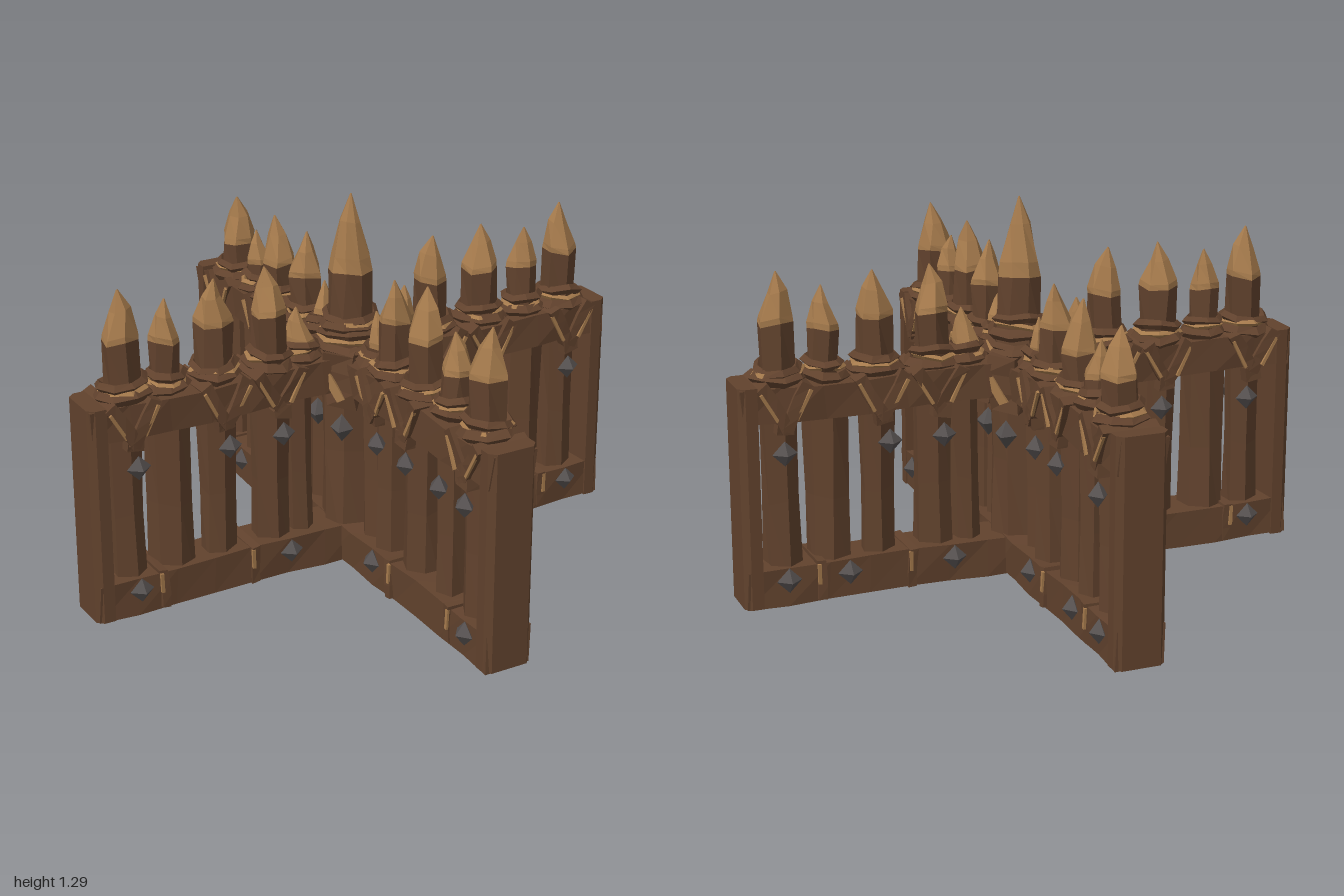
import * as THREE from 'three';

const mat = (name, color) => Object.assign(new THREE.MeshStandardMaterial({ color }), { name });
const wood = mat('dark wood', 0x61422d);
const cut = mat('fresh cut wood', 0xa57a4c);
const iron = mat('iron', 0x55504f);

// Uneven hand-hewn surface: a smooth wobble by position, then faceted normals
function hew(geo, amount = 0, seed = 0) {
  const p = geo.attributes.position;
  for (let i = 0; i < p.count; i++) {
    const x = p.getX(i), y = p.getY(i), z = p.getZ(i);
    p.setXYZ(i,
      x + amount * Math.sin(23 * y + 31 * z + seed * 1.7),
      y + amount * Math.sin(37 * x + 29 * z + seed * 2.3),
      z + amount * Math.sin(19 * y + 27 * x + seed * 3.1));
  }
  const flat = geo.index ? geo.toNonIndexed() : geo;
  flat.computeVertexNormals();
  return flat;
}

function add(parent, name, geo, material, x = 0, y = 0, z = 0) {
  const mesh = new THREE.Mesh(geo, material);
  mesh.name = name;
  mesh.position.set(x, y, z);
  parent.add(mesh);
  return mesh;
}

const lathe = (points, sides) =>
  new THREE.LatheGeometry(points.map(([r, y]) => new THREE.Vector2(r, y)), sides);

// Stake with a wide foot, narrower head and pale sharpened point
function addStake(parent, x, foot, head, tip, seed) {
  const shoulder = tip - 2.4 * head, paint = shoulder - 0.02;
  const g = new THREE.Group();
  g.name = 'stake';
  g.position.x = x;
  parent.add(g);
  add(g, 'stakeBody', hew(lathe([[foot, 0.04], [foot * 0.93, 0.35], [foot, 0.66], [head, 0.74],
    [head * 1.03, paint]], 6), 0.007, seed), wood);
  add(g, 'stakePoint', hew(lathe([[head * 1.03, paint], [head, shoulder],
    [head * 0.55, shoulder + head * 1.3], [0.002, tip]], 6), 0.007, seed), cut);
}

// Stacked, slightly tilted rope turns around a stake
function addCollar(parent, x, y, r, seed) {
  [[0, 0.021, wood], [0.02, 0.011, cut], [0.038, 0.017, wood]].forEach(([dy, tube, m], i) => {
    const geo = new THREE.TorusGeometry(r - 0.004 * i, tube, 4, 8).rotateX(Math.PI / 2);
    const ring = add(parent, 'ropeTurn', hew(geo, 0.005, seed + i), m, x, y + dy, 0);
    ring.rotation.set(0.1 * Math.sin(seed + i * 2), seed, 0.12 * Math.cos(seed * 2 + i));
  });
}

// V-shaped binding across both faces of the top rail
function addBinding(parent, x, seed) {
  for (const s of [-1, 1]) {
    const strap = add(parent, 'bindingStrap',
      hew(new THREE.BoxGeometry(0.042, 0.17, 0.19, 1, 3, 1), 0.005, seed + s), wood, x + s * 0.037, 0.685, 0);
    strap.rotation.z = -s * 0.5;
    for (const f of [-1, 1]) {
      const edge = add(parent, 'wornEdge', hew(new THREE.BoxGeometry(0.011, 0.11, 0.009), 0.002, seed),
        cut, x + s * 0.058, 0.69, f * 0.095);
      edge.rotation.z = -s * 0.5;
    }
  }
  add(parent, 'bindingKnot', hew(new THREE.BoxGeometry(0.06, 0.05, 0.18), 0.006, seed), wood, x, 0.615, 0);
}

// Pyramid-headed nails on both faces
function addStud(parent, x, y, z) {
  for (const f of [-1, 1]) {
    const geo = new THREE.OctahedronGeometry(1).scale(0.043, 0.043, 0.035);
    add(parent, 'ironStud', hew(geo), iron, x, y, f * z);
  }
}

// One wall of the cross, running outward along +x
function makeArm({ length, stakes, high, low, straps }, seed) {
  const arm = new THREE.Group();
  arm.name = 'fenceArm';
  const mid = length / 2, rail = length - 0.02;
  add(arm, 'bottomRail', hew(new THREE.BoxGeometry(rail, 0.13, 0.165, 7, 1, 1), 0.004, seed), wood, mid, 0.07, 0);
  add(arm, 'topRail', hew(new THREE.BoxGeometry(rail, 0.115, 0.16, 7, 1, 1), 0.006, seed + 2), wood, mid, 0.69, 0);

  // End post with chamfered outer corners
  const a = length - 0.062, b = length - 0.022;
  const plan = new THREE.Shape([[a, -0.086], [b, -0.086], [length, -0.066], [length, 0.066], [b, 0.086], [a, 0.086]]
    .map(([x, z]) => new THREE.Vector2(x, z)));
  const post = new THREE.ExtrudeGeometry(plan, { depth: 0.755, bevelEnabled: false }).rotateX(-Math.PI / 2);
  add(arm, 'endPost', hew(post), wood, 0, 0.003, 0);

  stakes.forEach(([x, foot, head, tip], i) => {
    addStake(arm, x, foot, head, tip, seed + i);
    addCollar(arm, x, 0.765, head + 0.017, seed + i);
    if (head > 0.054) addBinding(arm, x, seed + i);
  });
  high.forEach(x => addStud(arm, x, 0.525, 0.075));
  low.forEach(x => addStud(arm, x, 0.09, 0.085));

  // Narrow straps around the bottom rail
  straps.forEach((x, i) => {
    const strap = add(arm, 'railStrap', hew(new THREE.BoxGeometry(0.03, 0.135, 0.185, 1, 3, 1), 0.004, seed + i),
      wood, x, 0.077, 0);
    strap.rotation.z = 0.06 * Math.sin(seed + i);
    for (const f of [-1, 1])
      add(arm, 'strapEdge', hew(new THREE.BoxGeometry(0.012, 0.07, 0.008), 0.002, seed), cut, x + 0.01, 0.1, f * 0.094);
  });
  return arm;
}

export function createModel() {
  const model = new THREE.Group();
  model.name = 'palisadeCross';

  // Stakes: distance from centre, foot radius, head radius, tip height
  const left = { length: 1, high: [0.3, 0.5, 0.83], low: [0.28, 0.84], straps: [0.42, 0.76],
    stakes: [[0.2, 0.05, 0.043, 0.93], [0.315, 0.068, 0.057, 1.09], [0.515, 0.066, 0.06, 1.1],
      [0.69, 0.072, 0.048, 1.05], [0.845, 0.066, 0.063, 1.12]] };
  const right = { ...left, high: [0.3, 0.49, 0.85], low: [0.27, 0.64, 0.85], straps: [0.42, 0.74] };
  const front = { length: 0.99, high: [0.3, 0.48, 0.68, 0.83], low: [0.29, 0.86], straps: [0.4, 0.76],
    stakes: [[0.18, 0.05, 0.04, 0.94], [0.285, 0.066, 0.056, 1.09], [0.475, 0.068, 0.06, 1.11],
      [0.65, 0.066, 0.048, 1.03], [0.835, 0.066, 0.062, 1.11]] };
  const back = { length: 0.99, high: [0.32, 0.5, 0.82], low: [0.3, 0.65, 0.86], straps: [0.42, 0.76],
    stakes: [[0.18, 0.05, 0.04, 0.93], [0.305, 0.066, 0.056, 1.07], [0.51, 0.068, 0.06, 1.06],
      [0.65, 0.066, 0.045, 0.975], [0.81, 0.066, 0.06, 1.05]] };
  [right, back, left, front].forEach((spec, i) => {
    const arm = makeArm(spec, 3 + i * 4);
    arm.rotation.y = i * Math.PI / 2;
    model.add(arm);
  });

  // Tall centre post with its own point
  add(model, 'centrePost', hew(lathe([[0.105, 0.005], [0.098, 0.4], [0.105, 0.74], [0.078, 0.86],
    [0.074, 1.03]], 8), 0.005, 1), wood);
  add(model, 'centrePoint', hew(lathe([[0.074, 1.03], [0.066, 1.08], [0.035, 1.2], [0.002, 1.29]], 8), 0.005, 1), cut);
  addCollar(model, 0, 0.77, 0.108, 1);
  addCollar(model, 0, 0.84, 0.09, 4);

  // Heavy rope bundles in the four inner corners
  for (let i = 0; i < 4; i++) {
    const corner = new THREE.Group();
    corner.name = 'cornerBinding';
    corner.rotation.y = Math.PI / 4 + i * Math.PI / 2;
    model.add(corner);
    add(corner, 'cornerRope', hew(new THREE.BoxGeometry(0.06, 0.19, 0.1, 1, 3, 1), 0.009, i), wood, 0.115, 0.68, 0);
    const edge = add(corner, 'wornEdge', hew(new THREE.BoxGeometry(0.012, 0.1, 0.03), 0.003, i), cut, 0.148, 0.66, 0.02);
    edge.rotation.x = 0.5;
    const stud = new THREE.OctahedronGeometry(1).scale(0.045, 0.05, 0.04);
    add(corner, 'ironStud', hew(stud), iron, 0.115, 0.5, 0);
  }
  return model;
}
